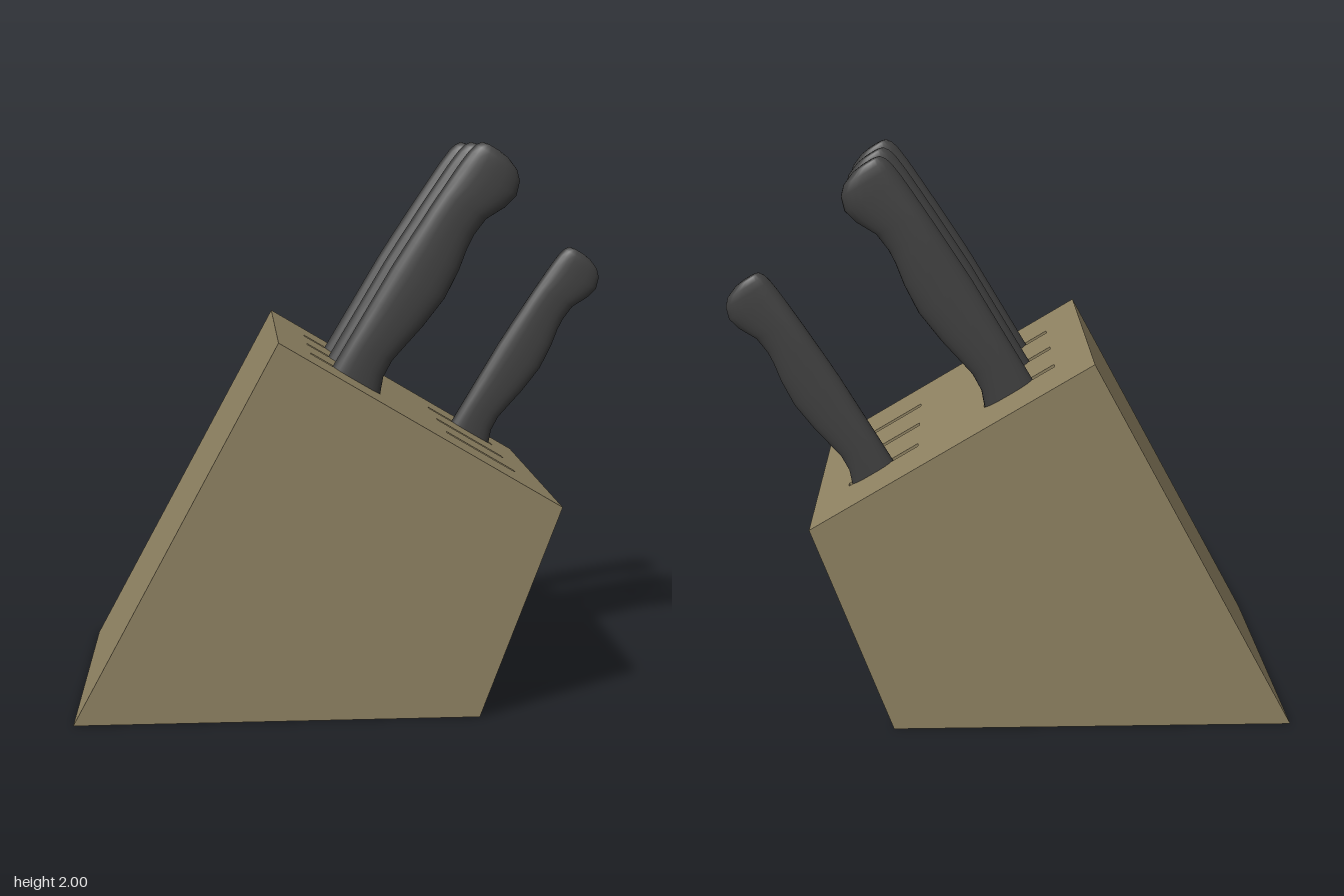
import * as THREE from 'three';

const wood = new THREE.MeshStandardMaterial({ color: 0x8f8262 });
const black = new THREE.MeshStandardMaterial({ color: 0x404040 });

// Block side profile, counter-clockwise; the last edge but one is the slotted face
const PROFILE = [[-1, 0], [0.42, 0], [0.7, 0.75], [-0.28, 1.33]];
const HALF = 0.57;
const FACE_LENGTH = Math.hypot(0.98, 0.58);
const SLOT = { length: 0.29, width: 0.036, depth: 0.6 };
const ROWS = [-0.28, 0, 0.28];
const UPPER = 0.14, LOWER = 0.707; // slot starts, measured down the slope

// Handle stations: height, back edge, belly edge, half thickness
const STATIONS = [
  [-0.03, 0, 0.2, 0.045], [0, 0, 0.197, 0.045], [0.057, 0, 0.176, 0.045],
  [0.124, 0, 0.173, 0.045], [0.2, 0, 0.188, 0.045], [0.283, 0, 0.205, 0.045],
  [0.41, 0, 0.221, 0.045], [0.522, 0.004, 0.213, 0.045], [0.6, 0.008, 0.199, 0.045],
  [0.651, 0.01, 0.195, 0.045], [0.723, 0.014, 0.203, 0.045], [0.793, 0.018, 0.24, 0.046],
  [0.847, 0.022, 0.254, 0.046], [0.896, 0.028, 0.238, 0.046], [0.925, 0.036, 0.209, 0.043],
  [0.945, 0.05, 0.16, 0.037], [0.95, 0.07, 0.125, 0.022],
];

function named(name, geometry, material) {
  const mesh = new THREE.Mesh(geometry, material);
  mesh.name = name;
  return mesh;
}

// Bottom and four sides of the block, without the slotted face
function bodyGeometry() {
  const pos = [];
  const quad = (a, b, c, d) => pos.push(...a, ...b, ...c, ...a, ...c, ...d);
  const front = PROFILE.map(([x, y]) => [x, y, HALF]);
  const back = PROFILE.map(([x, y]) => [x, y, -HALF]);
  quad(...front);
  quad(...[...back].reverse());
  for (const i of [0, 1, 3]) {
    const k = (i + 1) % 4;
    quad(front[i], back[i], back[k], front[k]);
  }
  const g = new THREE.BufferGeometry();
  g.setAttribute('position', new THREE.Float32BufferAttribute(pos, 3));
  g.computeVertexNormals();
  return g;
}

// Sloping face with rectangular slot openings
function faceGeometry() {
  const rect = (target, x0, x1, z0, z1) =>
    target.moveTo(x0, z0).lineTo(x1, z0).lineTo(x1, z1).lineTo(x0, z1).closePath();
  const shape = rect(new THREE.Shape(), 0, FACE_LENGTH, -HALF, HALF);
  for (const s of [UPPER, LOWER]) {
    for (const z of ROWS) {
      shape.holes.push(rect(new THREE.Path(), s, s + SLOT.length, z - SLOT.width / 2, z + SLOT.width / 2));
    }
  }
  return new THREE.ShapeGeometry(shape).rotateX(-Math.PI / 2);
}

// Open-topped box turned inside out
function slotGeometry() {
  const g = new THREE.BoxGeometry(SLOT.length, SLOT.depth, SLOT.width);
  const index = [...g.index.array];
  index.splice(12, 6);
  g.setIndex(index.reverse());
  g.translate(SLOT.length / 2, -SLOT.depth / 2, 0);
  g.computeVertexNormals();
  return g;
}

// Loft rounded cross-sections through the stations
function handleGeometry() {
  const N = 24, pos = [], index = [];
  const round = (v) => Math.sign(v) * Math.abs(v) ** 0.75;
  for (const [h, v0, v1, t] of STATIONS) {
    for (let j = 0; j < N; j++) {
      const a = (j / N) * Math.PI * 2;
      pos.push((v0 + v1) / 2 + (round(Math.cos(a)) * (v1 - v0)) / 2, h, round(Math.sin(a)) * t);
    }
  }
  const last = STATIONS.length - 1;
  for (let i = 0; i < last; i++) {
    for (let j = 0; j < N; j++) {
      const a = i * N + j, b = i * N + ((j + 1) % N);
      index.push(a, a + N, b, b, a + N, b + N);
    }
  }
  // End caps
  const bottom = pos.length / 3;
  pos.push(0.1, STATIONS[0][0], 0, 0.097, 0.951, 0);
  for (let j = 0; j < N; j++) {
    const k = (j + 1) % N;
    index.push(bottom, j, k, bottom + 1, last * N + k, last * N + j);
  }
  const g = new THREE.BufferGeometry();
  g.setAttribute('position', new THREE.Float32BufferAttribute(pos, 3));
  g.setIndex(index);
  g.computeVertexNormals();
  return g;
}

export function createModel() {
  const model = new THREE.Group();
  model.name = 'knifeBlock';
  model.add(named('blockBody', bodyGeometry(), wood));

  // Local frame of the sloping face: x down the slope, y out of the face
  const slope = new THREE.Group();
  slope.name = 'slottedTop';
  slope.position.set(-0.28, 1.33, 0);
  slope.rotation.z = -Math.atan2(0.58, 0.98);
  model.add(slope);
  slope.add(named('slopingFace', faceGeometry(), wood));

  const slot = slotGeometry();
  for (const s of [UPPER, LOWER]) {
    for (const z of ROWS) {
      const mesh = named('slot', slot, wood);
      mesh.position.set(s, 0, z);
      slope.add(mesh);
    }
  }

  // Three large knives above, one smaller knife below
  const handle = handleGeometry();
  const blade = new THREE.BoxGeometry(0.2, 0.5, 0.016).translate(0.085, -0.26, 0);
  function addKnife(name, s, z, scale) {
    const knife = new THREE.Group();
    knife.name = name;
    knife.add(named('handle', handle, black), named('blade', blade, black));
    knife.position.set(s, 0, z);
    knife.scale.setScalar(scale);
    slope.add(knife);
  }
  for (const z of ROWS) addKnife('largeKnife', 0.232, z, 1);
  addKnife('smallKnife', 0.813, ROWS[0], 0.865);

  return model;
}
